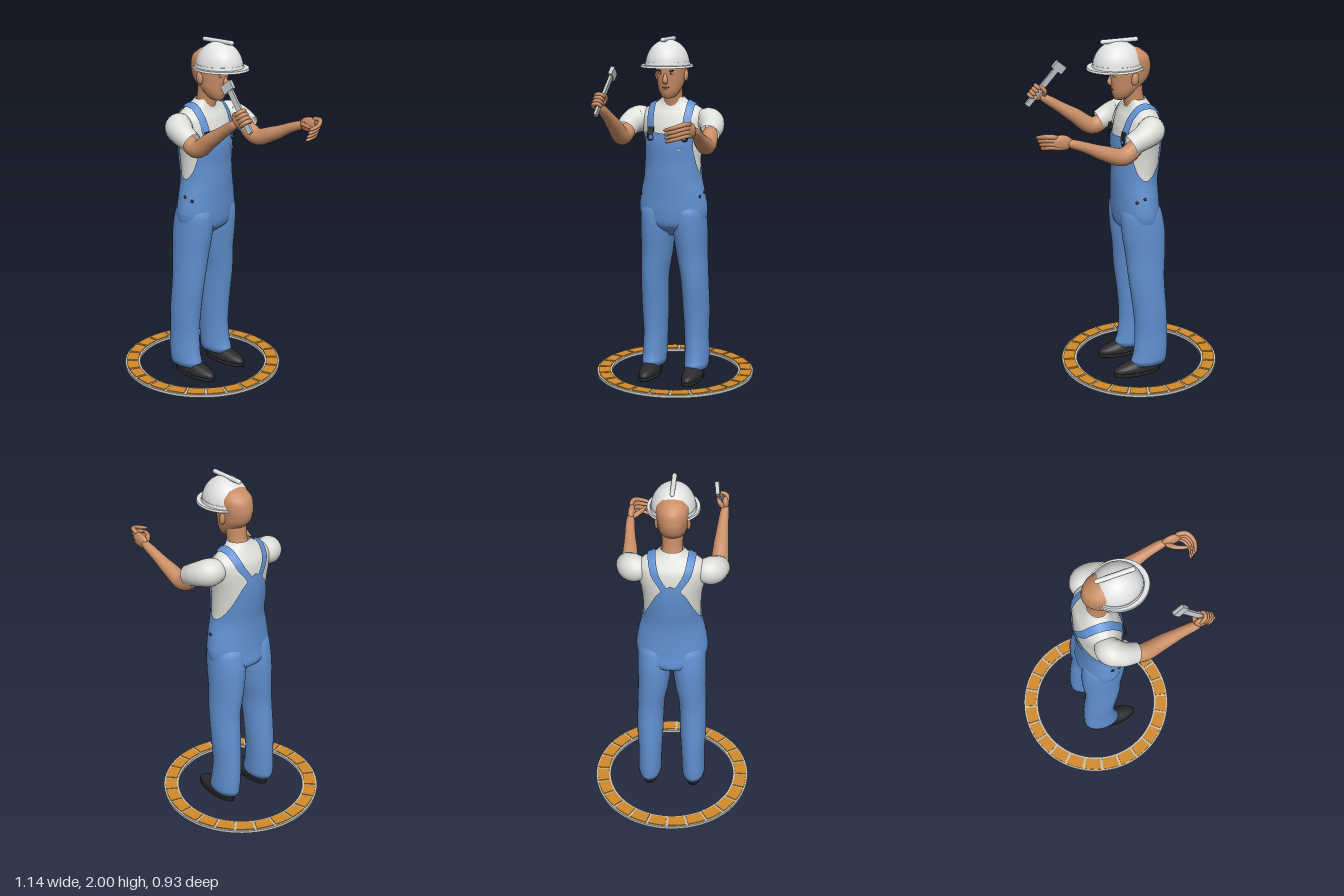
import * as THREE from 'three';
import { mergeVertices } from 'three/addons/utils/BufferGeometryUtils.js';

const mat = (name, color) => {
  const m = new THREE.MeshStandardMaterial({ color, side: THREE.DoubleSide });
  m.name = name;
  return m;
};
const V = (x, y, z) => new THREE.Vector3(x, y, z);

// Smooth interpolation of rows [key, a, b, ...] by key
function sample(rows, k) {
  let i = 0;
  while (i < rows.length - 2 && k > rows[i + 1][0]) i++;
  const at = (j) => rows[Math.min(Math.max(j, 0), rows.length - 1)];
  const t = THREE.MathUtils.clamp((k - rows[i][0]) / (rows[i + 1][0] - rows[i][0]), 0, 1);
  return rows[0].slice(1).map((_, c) => {
    const [p, q, r, s] = [-1, 0, 1, 2].map((o) => at(i + o)[c + 1]);
    return q + 0.5 * t * (r - p + t * (2 * p - 5 * q + 4 * r - s + t * (3 * (q - r) + s - p)));
  });
}

// Welded smooth grid from fn(u, v)
function grid(fn, nu, nv) {
  const pos = [], idx = [];
  for (let j = 0; j <= nv; j++)
    for (let i = 0; i <= nu; i++) pos.push(...fn(i / nu, j / nv).toArray());
  for (let j = 0; j < nv; j++)
    for (let i = 0; i < nu; i++) {
      const a = j * (nu + 1) + i, b = a + nu + 1;
      idx.push(a, b, a + 1, a + 1, b, b + 1);
    }
  let g = new THREE.BufferGeometry();
  g.setAttribute('position', new THREE.Float32BufferAttribute(pos, 3));
  g.setIndex(idx);
  g = mergeVertices(g, 1e-5);
  g.computeVertexNormals();
  return g;
}

// Upright body from rows [y, x, z, rx, rz], closed at both ends
function loft(rows, nu = 32, nv = 36) {
  const y0 = rows[0][0], y1 = rows[rows.length - 1][0];
  return grid((u, v) => {
    const k = THREE.MathUtils.clamp((v * nv - 1) / (nv - 2), 0, 1);
    const y = y0 + (y1 - y0) * k, [x, z, rx, rz] = sample(rows, y);
    const s = v === 0 || v === 1 ? 0 : 1, a = (u % 1) * Math.PI * 2;
    return V(x + s * rx * Math.cos(a), y, z + s * rz * Math.sin(a));
  }, nu, nv);
}

// Tapered tube through rows [x, y, z, radius]; rounded ends unless open
function limb(rows, open = false, sides = 16, n = 32) {
  const curve = new THREE.CatmullRomCurve3(rows.map((r) => V(r[0], r[1], r[2])));
  const radii = rows.map((r, i) => [i / (rows.length - 1), r[3]]);
  let g = new THREE.TubeGeometry(curve, n, 1, sides);
  const p = g.attributes.position, q = V(0, 0, 0);
  for (let i = 0; i < p.count; i++) {
    const t = Math.floor(i / (sides + 1)) / n, c = curve.getPointAt(t);
    const round = open ? 1 : Math.sqrt(Math.max(0, 1 - Math.abs(2 * t - 1) ** 10));
    q.fromBufferAttribute(p, i).sub(c).multiplyScalar(sample(radii, t)[0] * round).add(c);
    p.setXYZ(i, q.x, q.y, q.z);
  }
  g.deleteAttribute('uv');
  g.deleteAttribute('normal');
  g = mergeVertices(g, 1e-5);
  g.computeVertexNormals();
  return g;
}

// Torso rows [y, centre x, half depth, half width]
const TORSO = [
  [0.86, -0.09, 0.05, 0.08], [0.92, -0.085, 0.12, 0.17], [1.0, -0.075, 0.125, 0.197],
  [1.1, -0.07, 0.122, 0.185], [1.2, -0.068, 0.122, 0.163], [1.3, -0.075, 0.127, 0.16],
  [1.4, -0.078, 0.132, 0.168], [1.5, -0.085, 0.122, 0.188], [1.56, -0.09, 0.105, 0.188],
  [1.6, -0.09, 0.08, 0.155], [1.63, -0.085, 0.066, 0.095], [1.66, -0.075, 0.058, 0.064],
];
function torsoPoint(a, y, off) {
  const [x, d, w] = sample(TORSO, y);
  return V(x + (d + off) * Math.cos(a), y, (w + off) * Math.sin(a));
}
// Torso surface at depth z, seen from the chest centre at an angle over the shoulder
function overShoulder(phi, z, off) {
  let lo = 0, hi = 0.3;
  for (let i = 0; i < 24; i++) {
    const r = (lo + hi) / 2, y = 1.42 + r * Math.sin(phi), [x, d, w] = sample(TORSO, Math.min(y, 1.66));
    const f = ((-0.085 + r * Math.cos(phi) - x) / d) ** 2 + (z / w) ** 2;
    if (f < 1 && y < 1.66) lo = r; else hi = r;
  }
  return V(-0.085 + (lo + off) * Math.cos(phi), 1.42 + (lo + off) * Math.sin(phi), z);
}

export function createModel() {
  const root = new THREE.Group();
  const blue = mat('overall blue', 0x6090d0), white = mat('shirt white', 0xdededa);
  const skin = mat('skin', 0xc88d66), black = mat('shoe black', 0x2b2b2e);
  const shell = mat('helmet white', 0xe2e3e3), steel = mat('hammer grey', 0xc2c5c6);
  const orange = mat('tile orange', 0xd48a2a), frame = mat('ring grey', 0xc4c4be);
  const brown = mat('brow brown', 0x4a3024), lip = mat('lip', 0xa86950);
  const add = (name, geo, m, x = 0, y = 0, z = 0) => {
    const o = new THREE.Mesh(geo, m);
    o.name = name;
    o.position.set(x, y, z);
    root.add(o);
    return o;
  };
  const ball = (name, m, x, y, z, sx, sy, sz) => {
    const o = add(name, new THREE.SphereGeometry(1, 24, 16), m, x, y, z);
    o.scale.set(sx, sy, sz);
    return o;
  };

  // Ground ring with tiles
  const profile = [[0.375, 0.014], [0.465, 0.014], [0.465, 0.03], [0.375, 0.03], [0.375, 0.014]];
  const ring = new THREE.LatheGeometry(profile.map((p) => new THREE.Vector2(...p)), 72).toNonIndexed();
  ring.computeVertexNormals();
  add('ringFrame', ring, frame, -0.105);
  for (let i = 0; i < 24; i++) {
    const a = (i * Math.PI) / 12, s = new THREE.Shape();
    s.absarc(0, 0, 0.455, a + 0.016, a + 0.246, false);
    s.absarc(0, 0, 0.387, a + 0.246, a + 0.016, true);
    const g = new THREE.ExtrudeGeometry(s, { depth: 0.008, bevelEnabled: false, curveSegments: 5 });
    add('ringTile', g.rotateX(-Math.PI / 2), orange, -0.105, 0.027, 0);
  }

  // Shirt body
  add('shirt', grid((u, v) => torsoPoint((u % 1) * Math.PI * 2, 1.15 + 0.51 * v, 0), 48, 40), white);

  // Overalls body: top edge height by angle from the front
  const edge = [[0, 1.46], [0.84, 1.46], [0.95, 1.37], [1.2, 1.27], [1.55, 1.22],
    [1.9, 1.24], [2.3, 1.32], [2.7, 1.43], [Math.PI, 1.5]];
  add('overallsBody', grid((u, v) => {
    const a = (u % 1) * Math.PI * 2, top = sample(edge, a > Math.PI ? 2 * Math.PI - a : a)[0];
    const y = 0.86 + (Math.min(top, 1.5) - 0.86) * v;
    return torsoPoint(a, y, 0.003 + 0.006 * v);
  }, 120, 40), blue);
  add('chestTag', new THREE.BoxGeometry(0.006, 0.01, 0.025), white, 0.052, 1.375, -0.08).rotation.y = 0.3;

  // Helmet
  const dome = new THREE.SphereGeometry(1, 40, 16, 0, Math.PI * 2, 0, Math.PI / 2);
  const d = add('helmetDome', dome, shell, 0.03, 1.845, 0);
  d.scale.set(0.14, 0.142, 0.122);
  add('helmetBrim', new THREE.CylinderGeometry(0.98, 1, 0.012, 48), shell, 0.0425, 1.842, 0).scale.set(0.162, 1, 0.146);
  add('helmetBand', new THREE.CylinderGeometry(1, 1.03, 0.02, 48), shell, 0.03, 1.855, 0).scale.set(0.14, 1, 0.123);
  add('helmetRidge', new THREE.CapsuleGeometry(0.013, 0.195, 6, 12).rotateZ(Math.PI / 2), shell, 0.02, 1.987, 0);

  // Head and neck
  add('head', loft([
    [1.66, 0.018, 0, 0.028, 0.026], [1.672, 0.008, 0, 0.046, 0.043], [1.7, -0.004, 0, 0.067, 0.06],
    [1.73, -0.018, 0, 0.085, 0.071], [1.77, -0.035, 0, 0.108, 0.079], [1.81, -0.041, 0, 0.117, 0.084],
    [1.85, -0.042, 0, 0.117, 0.089], [1.9, -0.04, 0, 0.104, 0.085], [1.94, -0.035, 0, 0.06, 0.055],
    [1.955, -0.03, 0, 0.02, 0.02],
  ]), skin);
  add('neck', limb([[-0.09, 1.56, 0, 0.066], [-0.065, 1.65, 0, 0.057], [-0.05, 1.74, 0, 0.06]], true), skin);
  add('nose', limb([[0.065, 1.805, 0, 0.007], [0.074, 1.78, 0, 0.01], [0.075, 1.757, 0, 0.015], [0.062, 1.748, 0, 0.012]]), skin);
  ball('upperLip', lip, 0.062, 1.722, 0, 0.007, 0.004, 0.022);
  ball('lowerLip', lip, 0.059, 1.713, 0, 0.007, 0.005, 0.019);
  ball('chin', skin, 0.04, 1.683, 0, 0.015, 0.015, 0.022);

  for (const s of [1, -1]) {
    // Face sides
    ball('ear', skin, -0.04, 1.785, s * 0.085, 0.022, 0.034, 0.012).rotation.z = 0.2;
    ball('eye', white, 0.063, 1.8, s * 0.032, 0.006, 0.006, 0.013);
    ball('pupil', brown, 0.067, 1.8, s * 0.03, 0.004, 0.005, 0.005);
    const brow = add('eyebrow', new THREE.BoxGeometry(0.008, 0.007, 0.034), brown, 0.069, 1.815, s * 0.034);
    brow.rotation.set(-s * 0.22, s * 0.3, 0);

    // Trouser leg and shoe
    add('trouserLeg', loft([
      [0.06, -0.11, s * 0.132, 0.112, 0.068], [0.12, -0.122, s * 0.132, 0.105, 0.07],
      [0.25, -0.128, s * 0.128, 0.1, 0.07], [0.4, -0.12, s * 0.127, 0.101, 0.077],
      [0.6, -0.1, s * 0.122, 0.107, 0.08], [0.75, -0.097, s * 0.107, 0.118, 0.09],
      [0.9, -0.087, s * 0.098, 0.128, 0.099], [1.02, -0.075, s * 0.09, 0.118, 0.1],
      [1.08, -0.07, s * 0.085, 0.08, 0.07],
    ]), blue);
    add('shoeSole', loft([[0, -0.04, s * 0.132, 0.147, 0.054], [0.02, -0.04, s * 0.132, 0.15, 0.057]], 32, 4), black);
    add('shoeUpper', loft([
      [0.02, -0.04, s * 0.132, 0.146, 0.053], [0.045, -0.045, s * 0.132, 0.138, 0.053],
      [0.065, -0.065, s * 0.132, 0.11, 0.047], [0.09, -0.1, s * 0.132, 0.07, 0.042],
    ], 32, 12), black);

    // Shoulder strap, buckle and side buttons
    const strapZ = [[0.17, 0.1], [0.8, 0.108], [1.5, 0.112], [2.2, 0.09], [2.85, 0.03]];
    add('strap', grid((u, v) => {
      const phi = 0.17 + 2.68 * v;
      return overShoulder(phi, s * (sample(strapZ, phi)[0] + (u - 0.5) * 0.042), 0.011);
    }, 6, 40), blue);
    const clip = overShoulder(0.42, s * 0.1, 0.014);
    add('buckle', new THREE.BoxGeometry(0.014, 0.045, 0.034), black, clip.x, clip.y, clip.z).rotation.z = 0.2;
    add('buckleLoop', new THREE.TorusGeometry(0.018, 0.005, 8, 16).rotateY(Math.PI / 2), black, clip.x + 0.004, clip.y - 0.035, clip.z);
    for (const [a, y] of [[1.5, 1.12], [1.15, 1.1]]) {
      const b = torsoPoint(s * a, y, 0.009);
      ball('sideButton', black, b.x, b.y, b.z, 0.009, 0.009, 0.006);
    }

    // Sleeve
    add('sleeve', limb([
      [-0.09, 1.525, s * 0.13, 0.055], [-0.085, 1.525, s * 0.205, 0.077],
      [-0.03, 1.505, s * 0.242, 0.067], [0.05, 1.468, s * 0.248, 0.058],
    ], true, 24), white);
  }

  // Right arm, raised with the hammer
  add('rightArm', limb([
    [-0.02, 1.495, 0.242, 0.046], [0.085, 1.44, 0.25, 0.05], [0.2, 1.515, 0.255, 0.043],
    [0.31, 1.59, 0.262, 0.031], [0.4, 1.65, 0.272, 0.027],
  ]), skin);
  ball('rightPalm', skin, 0.4, 1.66, 0.27, 0.036, 0.047, 0.02).rotation.z = 0.7;
  for (let i = 0; i < 4; i++) {
    const k = (i - 1.5) * 0.021, x = 0.412 + 0.65 * k, y = 1.662 - 0.76 * k;
    add('rightFinger', limb([
      [x - 0.01, y - 0.008, 0.282, 0.011], [x + 0.022, y + 0.019, 0.275, 0.012],
      [x + 0.03, y + 0.024, 0.245, 0.011], [x + 0.008, y + 0.004, 0.228, 0.009],
    ], false, 10, 16), skin);
  }
  add('rightThumb', limb([[0.37, 1.645, 0.26, 0.013], [0.375, 1.68, 0.235, 0.013], [0.405, 1.71, 0.232, 0.01]], false, 10, 16), skin);

  // Hammer
  const hammer = new THREE.Group();
  hammer.name = 'hammer';
  const handle = new THREE.Mesh(new THREE.BoxGeometry(0.032, 0.27, 0.014), steel);
  handle.name = 'hammerHandle';
  const block = new THREE.Mesh(new THREE.BoxGeometry(0.072, 0.048, 0.022), steel);
  block.name = 'hammerHead';
  block.position.set(-0.004, 0.145, 0);
  hammer.add(handle, block);
  hammer.position.set(0.388, 1.702, 0.242);
  hammer.rotation.set(-0.14, 0, 0.7);
  root.add(hammer);

  // Left arm, reaching forward with curled fingers
  add('leftArm', limb([
    [-0.02, 1.495, -0.242, 0.046], [0.09, 1.412, -0.25, 0.05], [0.21, 1.447, -0.257, 0.043],
    [0.33, 1.502, -0.268, 0.03], [0.43, 1.54, -0.273, 0.027],
  ]), skin);
  ball('leftPalm', skin, 0.448, 1.54, -0.27, 0.06, 0.042, 0.022).rotation.z = 0.2;
  for (let i = 0; i < 4; i++) {
    const y = 1.575 - 0.021 * i, x = -0.008 * i;
    add('leftFinger', limb([
      [0.47 + x, y, -0.277, 0.013], [0.53 + x, y + 0.005, -0.262, 0.013],
      [0.558 + x, y - 0.012, -0.21, 0.011], [0.543 + x, y - 0.03, -0.15, 0.009],
    ], false, 10, 20), skin);
  }
  add('leftThumb', limb([[0.41, 1.535, -0.262, 0.016], [0.455, 1.55, -0.215, 0.013], [0.52, 1.548, -0.192, 0.009]], false, 10, 16), skin);

  return root;
}
